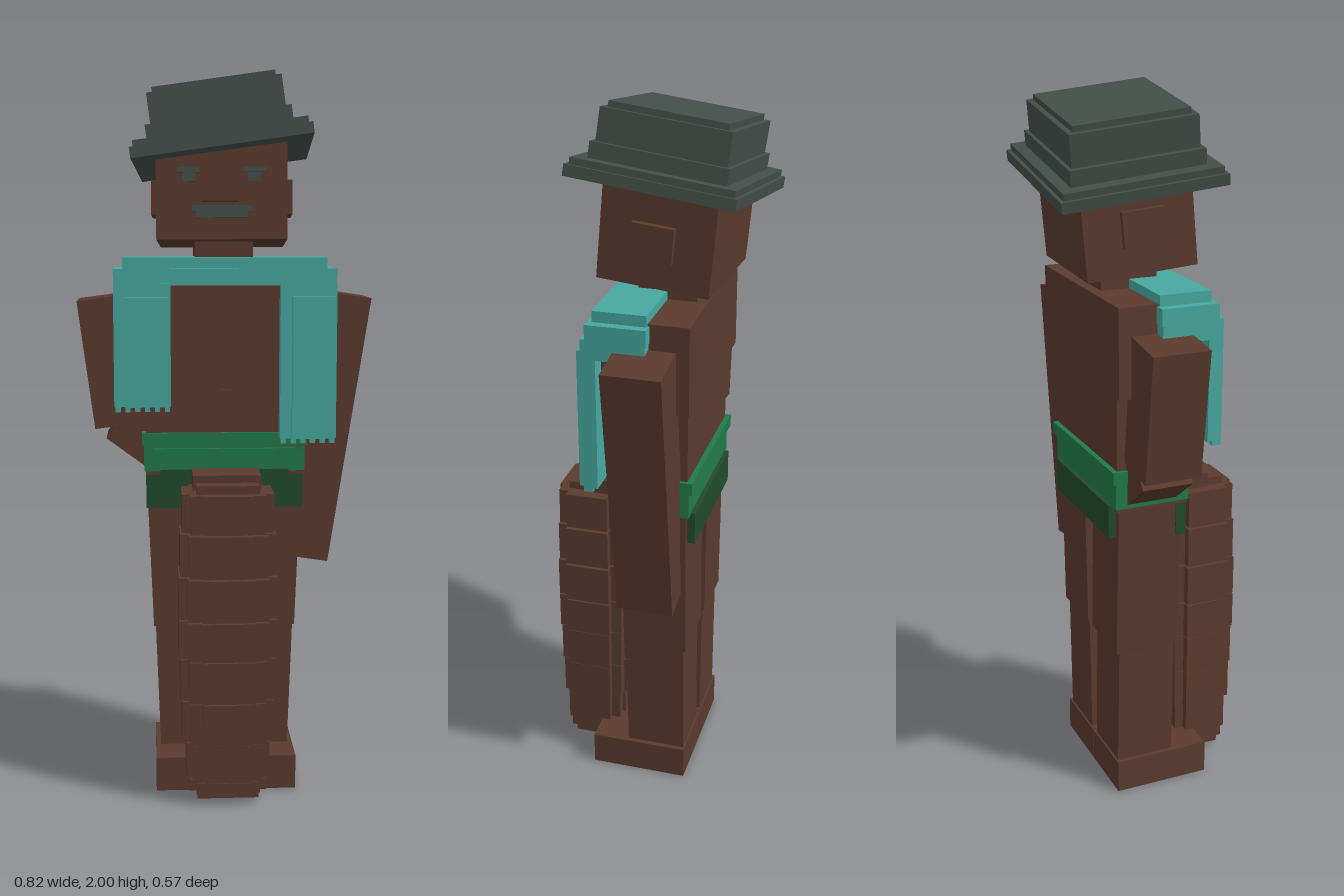
import * as THREE from 'three';

const mat = (name, color) => {
  const m = new THREE.MeshStandardMaterial({ color });
  m.name = name;
  return m;
};

export function createModel() {
  const skin = mat('brown', 0x5a3a2d);
  const felt = mat('dark grey felt', 0x434e49);
  const teal = mat('teal cloth', 0x47a8a0);
  const green = mat('green belt', 0x217a47);
  const darkGreen = mat('dark green cloth', 0x224a2c);

  const root = new THREE.Group();
  const group = (name, parent = root) => {
    const g = new THREE.Group();
    g.name = name;
    parent.add(g);
    return g;
  };
  // Box given by its extents on x, y and z
  const box = (parent, name, m, [x0, x1], [y0, y1], [z0, z1]) => {
    const b = new THREE.Mesh(new THREE.BoxGeometry(x1 - x0, y1 - y0, z1 - z0), m);
    b.position.set((x0 + x1) / 2, (y0 + y1) / 2, (z0 + z1) / 2);
    b.name = name;
    parent.add(b);
    return b;
  };
  const sym = (w) => [-w / 2, w / 2];

  // Torso and neck
  const torso = group('torso');
  box(torso, 'chest', skin, [-0.27, 0.27], [1.235, 1.48], [-0.15, 0.085]);
  box(torso, 'abdomen', skin, [-0.22, 0.22], [0.9, 1.235], [-0.135, 0.075]);
  box(torso, 'neck', skin, [-0.08, 0.08], [1.46, 1.58], [-0.12, 0.04]);
  box(torso, 'navel', skin, [-0.015, 0.015], [1.115, 1.14], [0.07, 0.083]);
  for (const s of [-1, 1]) {
    const pec = box(torso, 'pectoral', skin, [-0.096, 0.096], [1.245, 1.44], [0.07, 0.098]);
    pec.position.x = s * 0.1;
  }

  // Straight left arm
  const leftArm = box(root, 'leftArm', skin, sym(0.14), sym(0.76), sym(0.16));
  leftArm.position.set(0.285, 1.025, -0.035);
  leftArm.rotation.z = -0.153;

  // Right arm, bent toward the hip
  const upperArm = box(root, 'rightUpperArm', skin, sym(0.14), sym(0.36), sym(0.16));
  upperArm.position.set(-0.315, 1.215, -0.035);
  upperArm.rotation.z = 0.13;
  const forearm = box(root, 'rightForearm', skin, sym(0.22), sym(0.14), sym(0.145));
  forearm.position.set(-0.2, 0.99, -0.035);
  forearm.rotation.z = -0.64;

  // Legs and feet
  for (const s of [-1, 1]) {
    const leg = group(s > 0 ? 'leftLeg' : 'rightLeg');
    const part = (name, w, y, z, x, tilt) => {
      const p = box(leg, name, skin, sym(w), y, z);
      p.position.x = s * x;
      p.rotation.z = s * tilt;
    };
    part('thigh', 0.185, [0.46, 0.93], [-0.13, 0.055], 0.118, -0.04);
    part('shin', 0.165, [0.08, 0.47], [-0.12, 0.05], 0.107, -0.035);
    part('foot', 0.195, [0.003, 0.1], [-0.125, 0.155], 0.1, 0);
  }

  // Belt and loincloth
  const belt = group('belt');
  box(belt, 'beltBand', green, [-0.225, 0.225], [0.91, 0.995], [-0.14, 0.075]);
  box(belt, 'beltTop', green, [-0.23, 0.23], [0.985, 1.02], [-0.15, 0.085]);
  box(belt, 'beltFold', green, [-0.2, 0.2], [0.92, 0.975], [0.05, 0.085]);
  box(belt, 'frontFlap', darkGreen, [-0.22, 0.22], [0.805, 0.915], [0.04, 0.07]);
  box(belt, 'frontFlapPanel', darkGreen, [-0.18, 0.18], [0.83, 0.915], [0.06, 0.078]);
  box(belt, 'backFlap', darkGreen, [-0.2, 0.2], [0.82, 0.915], [-0.152, -0.12]);

  // Scarf: shoulder wrap, two hanging ends, fringes
  const scarf = group('scarf');
  box(scarf, 'scarfTop', teal, [-0.28, 0.28], [1.45, 1.505], [-0.04, 0.105]);
  box(scarf, 'scarfFront', teal, [-0.305, 0.305], [1.43, 1.475], [-0.045, 0.115]);
  for (const [s, bottom] of [[-1, 1.1], [1, 1.01]]) {
    const side = box(scarf, 'scarfShoulder', teal, sym(0.05), [1.38, 1.475], [-0.042, 0.118]);
    side.position.x = s * 0.28;
    const end = box(scarf, 'scarfEnd', teal, sym(0.155), [bottom, 1.435], [0.09, 0.13]);
    end.position.x = s * 0.2275;
    const strip = box(scarf, 'scarfStrip', teal, sym(0.115), [bottom, 1.4], [0.12, 0.143]);
    strip.position.x = 0.2275 * s + 0.012;
    for (let i = 0; i < 6; i++) {
      const tuft = box(scarf, 'fringe', teal, sym(0.014), [bottom - 0.014, bottom + 0.005], [0.105, 0.13]);
      tuft.position.x = s * 0.2275 + (i - 2.5) * 0.027;
    }
  }

  // Head, tipped back and slightly turned
  const head = group('head');
  head.position.set(-0.002, 1.675, -0.045);
  head.rotation.set(-0.09, -0.05, 0);
  box(head, 'skull', skin, sym(0.355), [-0.135, 0.13], sym(0.305));
  box(head, 'noseBridge', skin, [-0.04, 0.03], [-0.02, 0.07], [0.14, 0.17]);
  box(head, 'noseTip', skin, [-0.052, 0.042], [-0.035, -0.01], [0.14, 0.185]);
  box(head, 'mouth', felt, [-0.07, 0.07], [-0.077, -0.058], [0.145, 0.165]);
  box(head, 'moustache', felt, [-0.082, 0.082], [-0.062, -0.045], [0.145, 0.17]);
  for (const s of [-1, 1]) {
    const brow = box(head, 'eyebrow', felt, sym(0.06), [0.044, 0.058], [0.145, 0.163]);
    brow.position.x = s * 0.09;
    const eye = box(head, 'eye', felt, sym(0.034), [0.02, 0.044], [0.145, 0.158]);
    eye.position.x = s * 0.088;
    const ear = box(head, 'ear', skin, sym(0.04), [-0.06, 0.035], [-0.05, 0.065]);
    ear.position.x = s * 0.175;
  }

  // Hat, tilted on the head
  const hat = group('hat');
  hat.position.set(0.003, 1.775, -0.045);
  hat.rotation.set(-0.11, -0.065, 0.13);
  box(hat, 'brimBottom', felt, sym(0.49), [0, 0.03], sym(0.45));
  box(hat, 'brimTop', felt, sym(0.47), [0.025, 0.048], sym(0.43));
  box(hat, 'band', felt, sym(0.395), [0.04, 0.09], sym(0.365));
  box(hat, 'crown', felt, sym(0.365), [0.08, 0.175], sym(0.345));
  box(hat, 'crownTop', felt, sym(0.335), [0.17, 0.191], sym(0.315));

  // Segmented column standing in front: each segment is three crossed boxes
  const column = group('column');
  const levels = [0.035, 0.07, 0.18, 0.3, 0.42, 0.53, 0.65, 0.77, 0.88];
  const scales = [0.8, 0.86, 0.94, 0.97, 1, 1, 0.97, 0.93];
  scales.forEach((k, i) => {
    const y = [levels[i] + 0.002, levels[i + 1] - 0.002];
    const z = (d) => [0.187 - d * k / 2, 0.187 + d * k / 2];
    box(column, 'segmentSides', skin, sym(0.268 * k), y, z(0.13));
    box(column, 'segmentBody', skin, sym(0.22 * k), y, z(0.19));
    box(column, 'segmentFace', skin, sym(0.145 * k), y, z(0.208));
  });
  box(column, 'columnCore', skin, [-0.085, 0.085], [0.018, 0.9], [0.115, 0.25]);
  box(column, 'columnCap', skin, [-0.093, 0.093], [0.87, 0.92], [0.085, 0.2]);

  return root;
}
